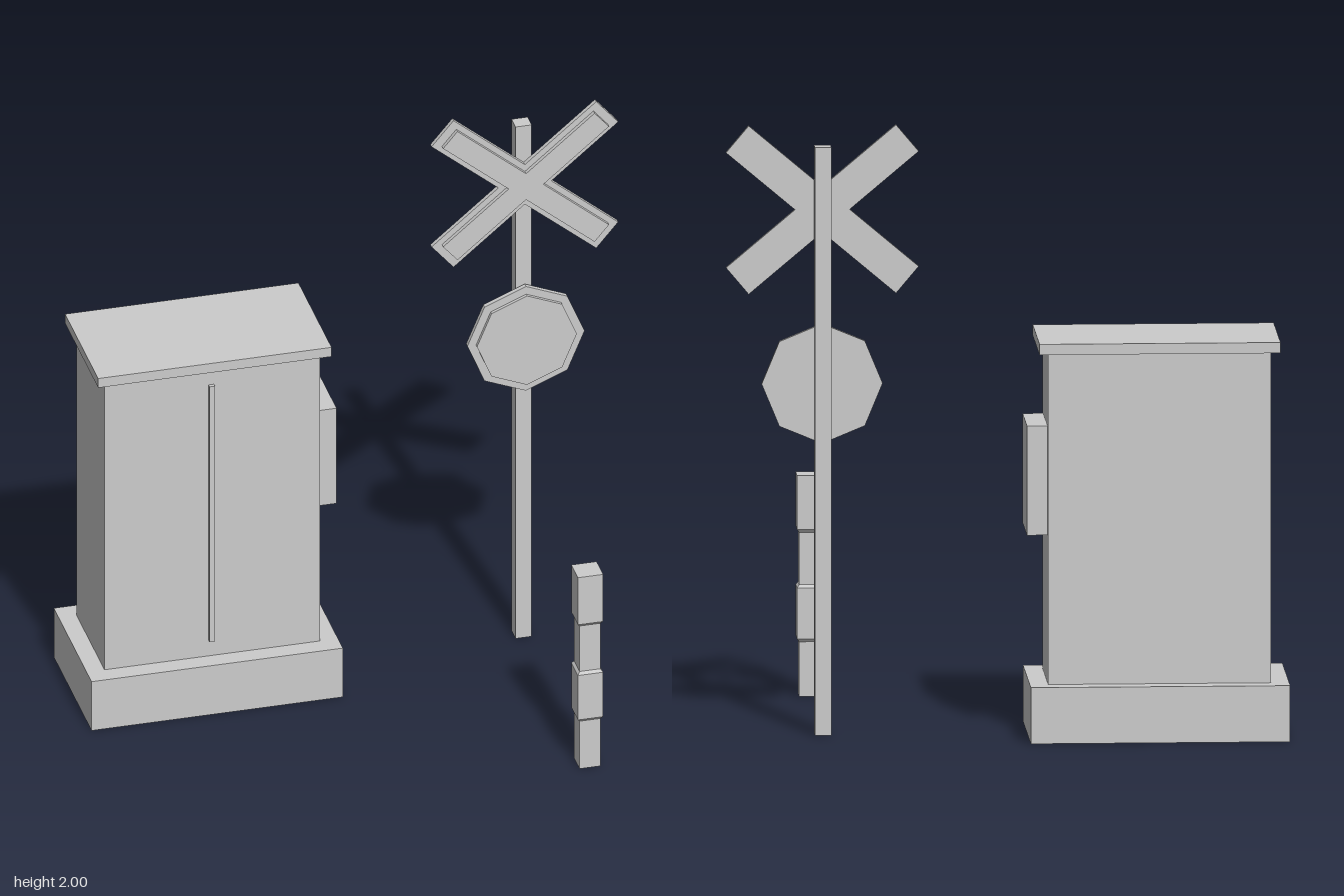
import * as THREE from 'three';

export function createModel() {
  const model = new THREE.Group();
  const grey = new THREE.MeshStandardMaterial({ color: 0xcccccc, flatShading: true });
  grey.name = 'light grey';

  const add = (name, geometry, parent = model) => {
    const mesh = new THREE.Mesh(geometry, grey);
    mesh.name = name;
    parent.add(mesh);
    return mesh;
  };
  // Box given by its lower and upper limits on each axis
  const box = (name, [x0, x1], [y0, y1], [z0, z1], parent) =>
    add(name, new THREE.BoxGeometry(x1 - x0, y1 - y0, z1 - z0), parent)
      .position.set((x0 + x1) / 2, (y0 + y1) / 2, (z0 + z1) / 2);
  // Flat outline extruded from z0 to z1
  const plate = (name, points, x, y, z0, z1, parent) => {
    const shape = new THREE.Shape(points);
    const geometry = new THREE.ExtrudeGeometry(shape, { depth: z1 - z0, bevelEnabled: false });
    add(name, geometry, parent).position.set(x, y, z0);
  };
  const group = (name) => {
    const g = new THREE.Group();
    g.name = name;
    model.add(g);
    return g;
  };

  // Equipment cabinet
  const cabinet = group('cabinet');
  box('cabinetBase', [-0.915, -0.07], [0, 0.185], [-0.565, -0.08], cabinet);
  box('cabinetBody', [-0.855, -0.13], [0.185, 1.275], [-0.5, -0.143], cabinet);
  box('cabinetRoof', [-0.885, -0.1], [1.275, 1.31], [-0.535, -0.11], cabinet);
  box('doorSeam', [-0.505, -0.487], [0.245, 1.21], [-0.143, -0.13], cabinet);
  box('sideBox', [-0.13, -0.063], [0.67, 1.03], [-0.457, -0.187], cabinet);

  // Crossing sign on its post
  const cx = 0.595;
  const sign = group('crossingSign');
  box('signPost', [cx - 0.027, cx + 0.027], [0, 1.935], [-0.35, -0.298], sign);

  // Outline of two equal planks crossing, each tilted by 40 degrees
  const crossOutline = (halfLength, halfWidth) => {
    const tilt = THREE.MathUtils.degToRad(40.1);
    const points = [];
    for (let i = 0; i < 4; i++) {
      const a = i % 2 ? Math.PI - tilt : tilt;
      const angle = i < 2 ? a : a + Math.PI;
      const dir = new THREE.Vector2(Math.cos(angle), Math.sin(angle));
      const side = new THREE.Vector2(-dir.y, dir.x);
      for (const s of [-1, 1])
        points.push(dir.clone().multiplyScalar(halfLength).addScaledVector(side, s * halfWidth));
      // Inner corner before the next arm
      const notch = [halfWidth / Math.cos(tilt), halfWidth / Math.sin(tilt)];
      points.push([
        new THREE.Vector2(0, notch[0]), new THREE.Vector2(-notch[1], 0),
        new THREE.Vector2(0, -notch[0]), new THREE.Vector2(notch[1], 0),
      ][i]);
    }
    return points;
  };
  plate('crossBack', crossOutline(0.362, 0.0573), cx, 1.723, -0.298, -0.282, sign);
  plate('crossFront', crossOutline(0.333, 0.0375), cx, 1.723, -0.282, -0.267, sign);

  // Octagonal disc with a vertex at the top
  const octagon = (r) => Array.from({ length: 8 }, (_, i) =>
    new THREE.Vector2(r * Math.cos(i * Math.PI / 4), r * Math.sin(i * Math.PI / 4)));
  plate('discBack', octagon(0.197), cx, 1.148, -0.285, -0.268, sign);
  plate('discFront', octagon(0.168), cx, 1.148, -0.268, -0.256, sign);

  // Square marker post with two thicker bands
  const thin = 0.035, wide = 0.0425;
  const profile = [
    [0, 0], [thin, 0], [thin, 0.18], [wide, 0.19], [wide, 0.358], [thin, 0.368],
    [thin, 0.54], [wide, 0.55], [wide, 0.728], [0, 0.728],
  ].map(([r, y]) => new THREE.Vector2(r * Math.SQRT2, y));
  const post = new THREE.LatheGeometry(profile, 4).rotateY(Math.PI / 4).toNonIndexed();
  post.computeVertexNormals();
  add('markerPost', post).position.set(cx - 0.001, 0, 0.5225);

  return model;
}
